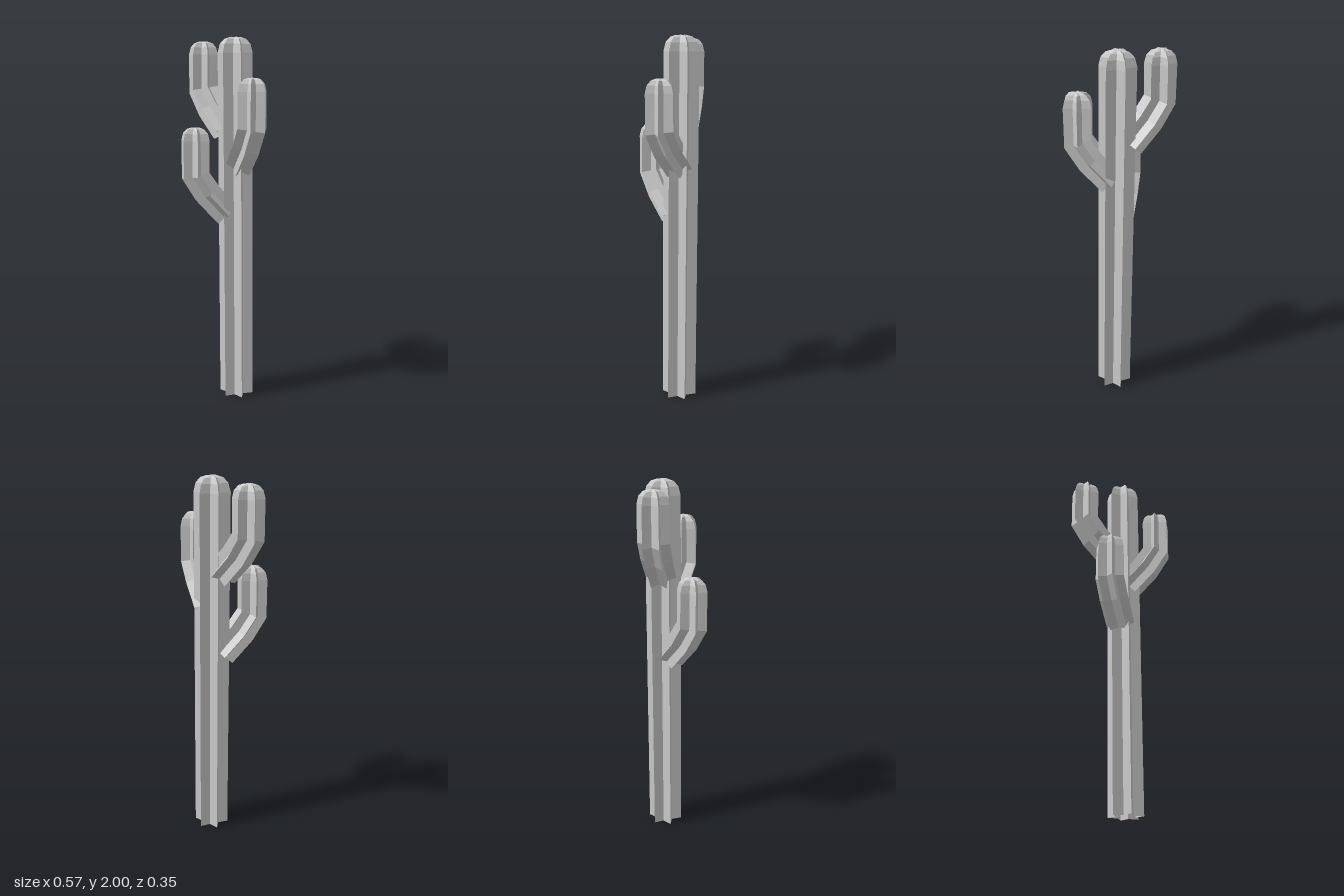
import * as THREE from 'three';

const SIDES = 12; // six ridges, six valleys
const VALLEY = 0.55; // valley radius relative to ridge radius
// rounded tip: [radius scale, drop below the top as a share of the radius]
const DOME = [[1, 0.86], [0.88, 0.38], [0.62, 0.1], [0.3, 0]];

const material = new THREE.MeshStandardMaterial({
  color: 0xcccccc, flatShading: true, side: THREE.DoubleSide,
});

// Ribbed stem. Rings hold a centre (d outward, y up), a tilt of the
// cross-section and a scale; d runs along +x before the mesh is turned.
function ribbedStem(name, radius, rings) {
  const pos = [], index = [];
  for (const { d, y, tilt = 0, scale = 1 } of rings) {
    for (let i = 0; i < SIDES; i++) {
      const a = (i / SIDES) * Math.PI * 2 + Math.PI / 6;
      const r = radius * scale * (i % 2 ? VALLEY : 1);
      const u = r * Math.cos(a);
      pos.push(d + u * Math.cos(tilt), y - u * Math.sin(tilt), r * Math.sin(a));
    }
  }
  for (let k = 0; k < rings.length - 1; k++) {
    for (let i = 0; i < SIDES; i++) {
      const j = (i + 1) % SIDES;
      const a = k * SIDES + i, b = k * SIDES + j;
      index.push(a, a + SIDES, b, b, a + SIDES, b + SIDES);
    }
  }
  // close the tip with a fan
  const last = rings[rings.length - 1];
  const apex = pos.length / 3, base = apex - SIDES;
  pos.push(last.d, last.y - 0.003, 0);
  for (let i = 0; i < SIDES; i++) index.push(base + i, apex, base + ((i + 1) % SIDES));

  const geo = new THREE.BufferGeometry();
  geo.setAttribute('position', new THREE.Float32BufferAttribute(pos, 3));
  geo.setIndex(index);
  const flat = geo.toNonIndexed();
  flat.computeVertexNormals();
  const mesh = new THREE.Mesh(flat, material);
  mesh.name = name;
  return mesh;
}

const dome = (d, top, radius) =>
  DOME.map(([scale, drop]) => ({ d, y: top - drop * radius, scale }));

// Arm leaving the trunk obliquely and bending upright; x, z locate its tip
function arm(name, x, z, top, degrees) {
  const radius = 0.082;
  const mesh = ribbedStem(name, radius, [
    { d: -0.17, y: top - 0.475, tilt: 0.75 },
    { d: -0.065, y: top - 0.36, tilt: 0.62, scale: 1.02 },
    { d: 0, y: top - 0.26, tilt: 0.29, scale: 1.02 },
    ...dome(0, top, radius),
  ]);
  mesh.position.set(x, 0, z);
  mesh.rotation.y = -THREE.MathUtils.degToRad(degrees);
  return mesh;
}

export function createModel() {
  const group = new THREE.Group();
  group.name = 'cactus';

  // Trunk, leaning slightly to one side
  const trunk = ribbedStem('trunk', 0.095, [{ d: 0.04, y: 0 }, ...dome(0.02, 2, 0.095)]);
  trunk.position.z = -0.083;
  group.add(trunk);

  // Three arms at different heights
  group.add(arm('rightArm', -0.212, -0.082, 1.98, 180));
  group.add(arm('leftArm', 0.204, -0.01, 1.79, 25));
  group.add(arm('frontArm', -0.105, 0.095, 1.525, 127));
  return group;
}
